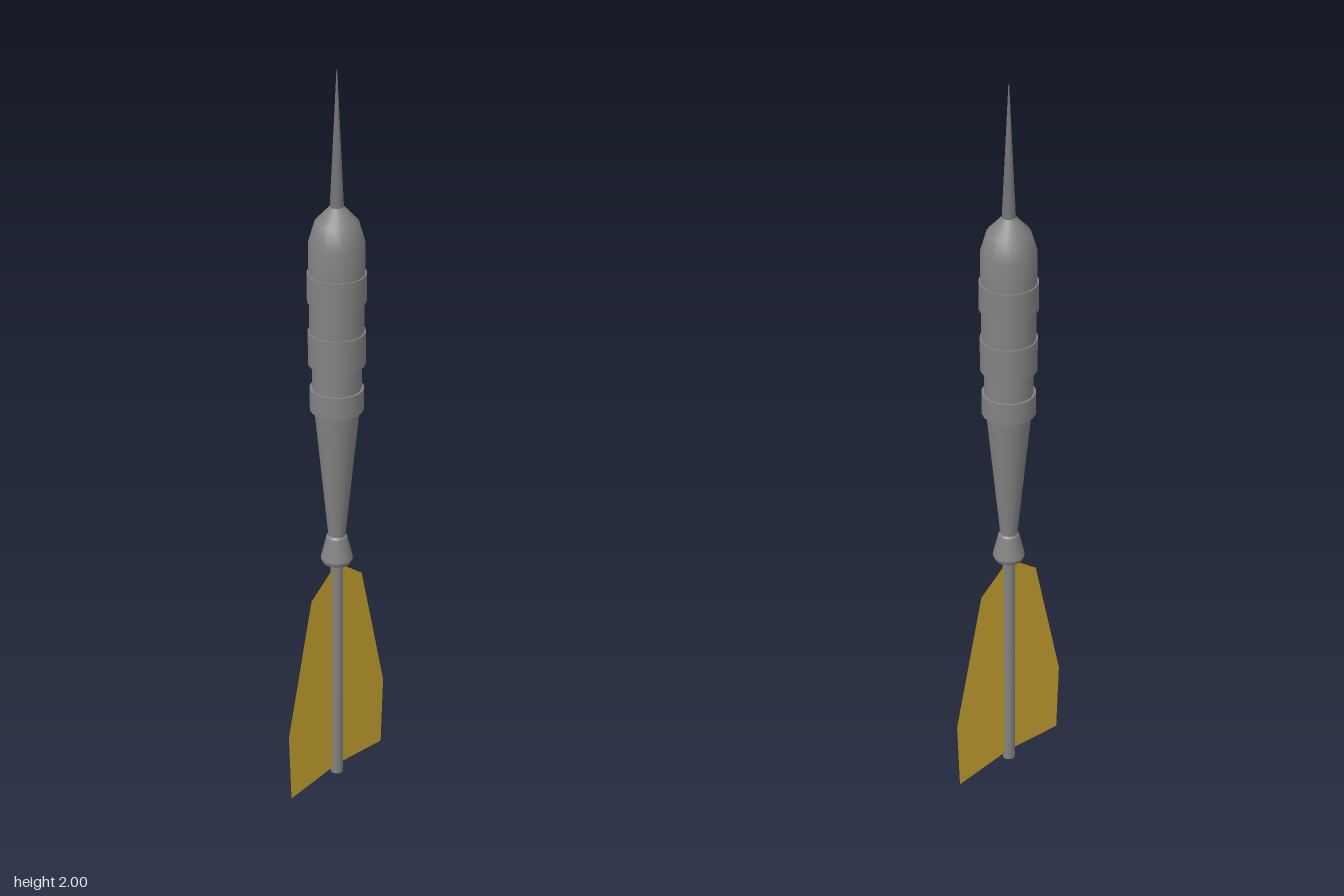
import * as THREE from 'three';

export function createModel() {
  const dart = new THREE.Group();
  dart.name = 'dart';
  const steel = new THREE.MeshStandardMaterial({ color: 0x828282 });
  steel.name = 'steel grey';
  const point = new THREE.MeshStandardMaterial({ color: 0x747474 });
  point.name = 'point grey';
  const gold = new THREE.MeshStandardMaterial({ color: 0xcca633, side: THREE.DoubleSide });
  gold.name = 'flight gold';

  // turned part: [radius, height] pairs from bottom to top
  function turned(name, profile, material = steel, sides = 20) {
    const points = profile.map(([r, y]) => new THREE.Vector2(r, y));
    const mesh = new THREE.Mesh(new THREE.LatheGeometry(points, sides), material);
    mesh.name = name;
    dart.add(mesh);
  }

  // straight cylinder with closed ends
  function rod(name, radius, bottom, top, sides = 20) {
    const geometry = new THREE.CylinderGeometry(radius, radius, top - bottom, sides);
    const mesh = new THREE.Mesh(geometry, steel);
    mesh.name = name;
    mesh.position.y = (top + bottom) / 2;
    dart.add(mesh);
  }

  // shaft and its flared collar
  rod('shaft', 0.017, 0, 0.67, 12);
  turned('collarBase', [[0, 0.655], [0.037, 0.655]]);
  turned('collarLip', [[0.037, 0.655], [0.042, 0.667]]);
  turned('collarFlare', [[0.042, 0.667], [0.027, 0.73]]);
  turned('collarTop', [[0.027, 0.73], [0.02, 0.738]]);

  // tapered rear of the barrel
  turned('barrelTaper', [[0.022, 0.73], [0.058, 1.1]]);

  // barrel body and raised grip rings
  rod('rearBarrel', 0.063, 1.14, 1.25);
  rod('frontBarrel', 0.069, 1.3, 1.5);
  rod('rearRing', 0.069, 1.1, 1.16);
  rod('middleRing', 0.073, 1.228, 1.317);
  rod('frontRing', 0.075, 1.4, 1.475);

  // rounded nose and needle point
  turned('nose', [[0.071, 1.47], [0.071, 1.555], [0.055, 1.61], [0.016, 1.652], [0, 1.655]]);
  turned('needle', [[0.018, 1.645], [0.001, 2]], point, 12);

  // flat flight in the plane x = 0
  const half = [[0, 0.65], [0.1, 0.575], [0.192, 0.2], [0.184, 0.003], [0, 0.02]];
  const outline = [...half, ...half.slice(1, 4).reverse().map(([z, y]) => [-z, y])];
  const shape = new THREE.Shape(outline.map(([z, y]) => new THREE.Vector2(z, y)));
  const flight = new THREE.Mesh(new THREE.ShapeGeometry(shape), gold);
  flight.name = 'flight';
  flight.rotation.y = Math.PI / 2;
  dart.add(flight);

  return dart;
}
